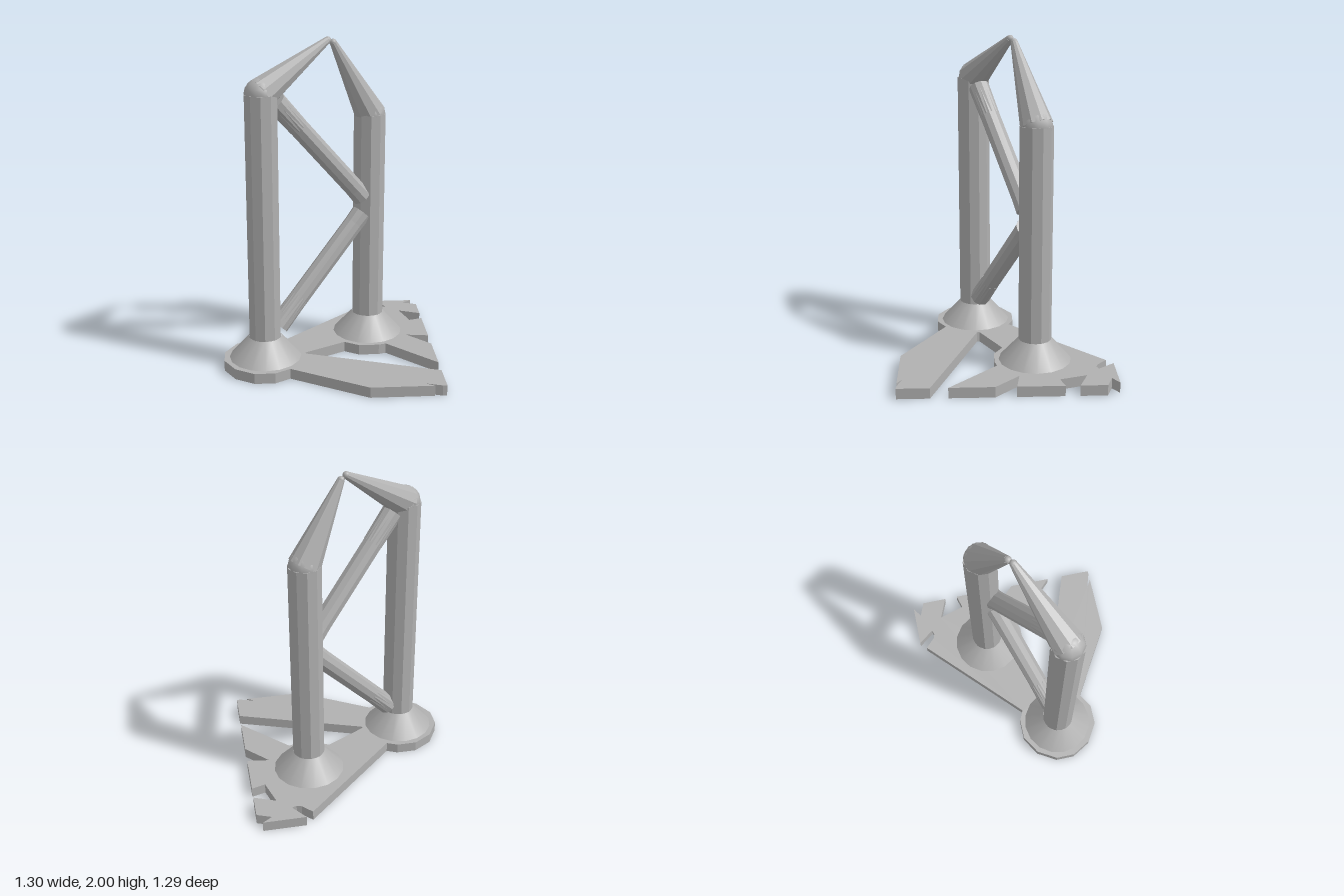
import * as THREE from 'three';

// One grey, in a faceted and a smooth version
const GREY = 0xb0b0b0;

export function createModel() {
  const group = new THREE.Group();
  const faceted = new THREE.MeshStandardMaterial({ color: GREY, flatShading: true });
  faceted.name = 'grey faceted';
  const smooth = new THREE.MeshStandardMaterial({ color: GREY });
  smooth.name = 'grey smooth';

  const add = (name, geometry, material) => {
    const mesh = new THREE.Mesh(geometry, material);
    mesh.name = name;
    group.add(mesh);
    return mesh;
  };

  // Ten-sided, optionally tapered bar between two points
  const bar = (name, a, b, ra, rb, spin = 0) => {
    const dir = b.clone().sub(a);
    const geo = new THREE.CylinderGeometry(rb, ra, dir.length(), 10);
    geo.rotateY(spin);
    const mesh = add(name, geo, faceted);
    mesh.position.copy(a).add(b).multiplyScalar(0.5);
    mesh.quaternion.setFromUnitVectors(new THREE.Vector3(0, 1, 0), dir.normalize());
    return mesh;
  };
  const ball = (name, p, r) => {
    add(name, new THREE.SphereGeometry(r, 10, 8), smooth).position.copy(p);
  };
  const v = (x, y, z) => new THREE.Vector3(x, y, z);

  // Flat base plate: outline in x, z with branching arms and notched ends
  const outline = [
    [-0.47, -0.07], [-0.345, -0.07], [-0.28, -0.04], [0.31, -0.61], [0.37, -0.55],
    [0.4, -0.54], [0.43, -0.55], [0.355, -0.65], [0.62, -0.65], [0.56, -0.61],
    [0.65, -0.575], [0.65, -0.415], [0.515, -0.47], [0.565, -0.305], [0.65, -0.33],
    [0.65, -0.05], [0.51, -0.07], [0.65, 0.075], [0.65, 0.345], [0.36, 0.055],
    [0.315, 0.07], [0.19, 0.07], [0.1, 0.015], [-0.155, 0.155], [-0.15, 0.17],
    [0.65, 0.45], [0.65, 0.645], [0.625, 0.645], [0.525, 0.612], [0.58, 0.645],
    [0.2, 0.645], [-0.255, 0.375], [-0.345, 0.43], [-0.47, 0.43], [-0.585, 0.36],
    [-0.655, 0.24], [-0.655, 0.12], [-0.585, 0],
  ];
  const shape = new THREE.Shape(outline.map(([x, z]) => new THREE.Vector2(x, -z)));
  const plate = new THREE.ExtrudeGeometry(shape, { depth: 0.065, bevelEnabled: false });
  plate.rotateX(-Math.PI / 2);
  add('basePlate', plate, faceted);

  // Two columns with conical feet, rounded shoulders and arms meeting at the peak
  const columns = [
    { side: 'right', x: -0.403, z: 0.178, top: 1.7, tip: v(-0.004, 1.979, -0.036) },
    { side: 'left', x: 0.265, z: -0.178, top: 1.51, tip: v(0.03, 1.962, -0.058) },
  ];
  for (const { side, x, z, top, tip } of columns) {
    const foot = new THREE.CylinderGeometry(0.1, 0.226, 0.14, 16, 1, true);
    add(side + 'Foot', foot, smooth).position.set(x, 0.13, z);
    const shoulder = v(x, top, z);
    bar(side + 'Column', v(x, 0.06, z), shoulder, 0.1, 0.1);
    ball(side + 'Shoulder', shoulder, 0.097);
    bar(side + 'Arm', shoulder, tip, 0.098, 0.022);
    ball(side + 'ArmTip', tip, 0.022);
  }

  // Diagonal braces: a core rod with slightly flared cuffs at both ends
  const braces = [
    ['upperBrace', v(-0.32, 1.65, 0.145), v(0.215, 0.995, -0.125)],
    ['lowerBrace', v(-0.32, 0.25, 0.145), v(0.215, 0.885, -0.125)],
  ];
  for (const [name, a, b] of braces) {
    bar(name, a, b, 0.061, 0.061);
    bar(name + 'RightCuff', a, a.clone().lerp(b, 0.25), 0.065, 0.06, Math.PI / 10);
    bar(name + 'LeftCuff', b, b.clone().lerp(a, 0.12), 0.065, 0.06, Math.PI / 10);
  }

  return group;
}
